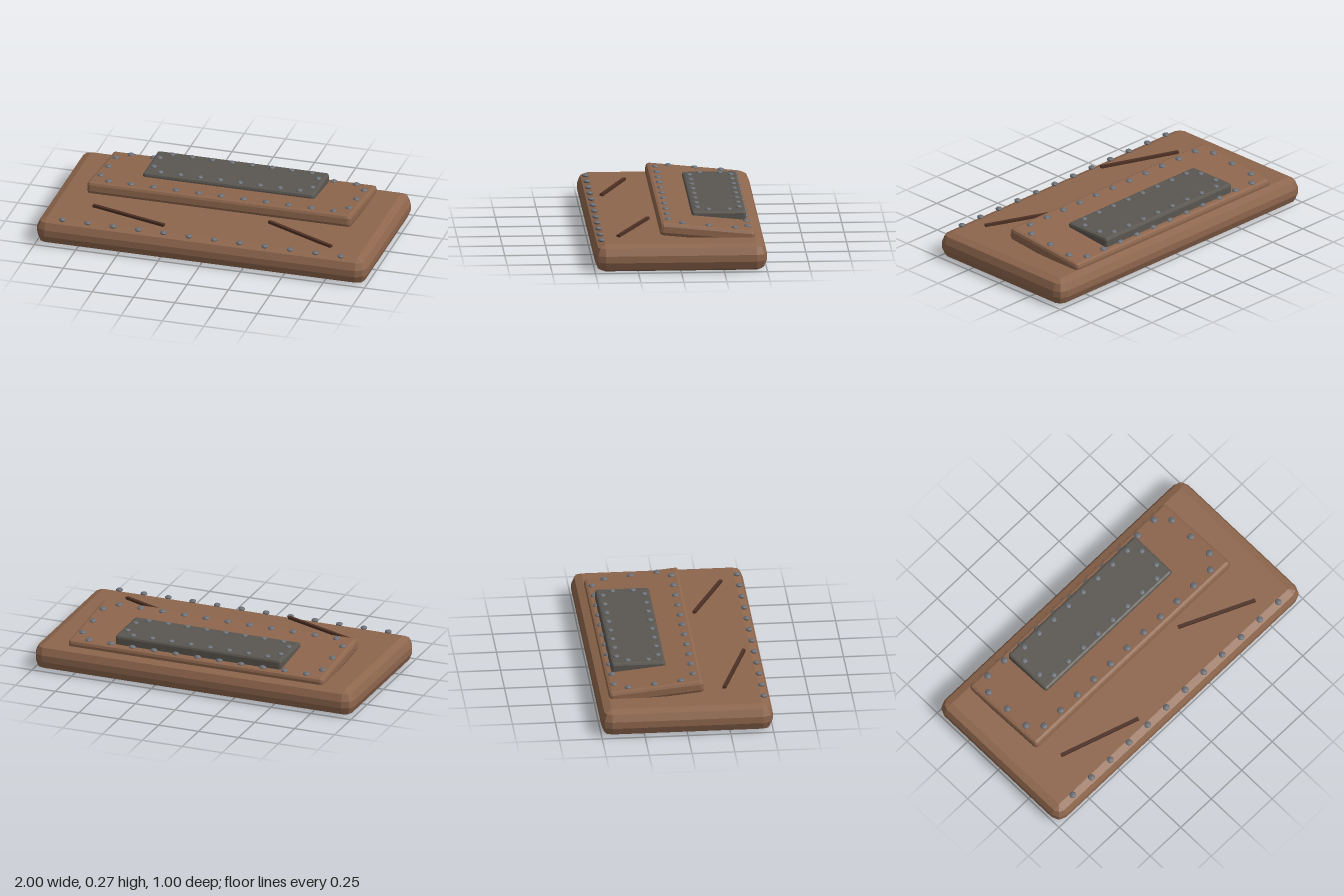
import * as THREE from 'three';
import { ConvexGeometry } from 'three/addons/geometries/ConvexGeometry.js';

// Box whose edges and corners are rounded with two flat facets per quarter turn
function roundedSlab(w, h, d, r) {
  const points = [];
  for (const sx of [-1, 1]) for (const sy of [-1, 1]) for (const sz of [-1, 1])
    for (let i = 0; i <= 2; i++) for (let j = 0; j <= (i === 2 ? 0 : 2); j++) {
      const lat = i * Math.PI / 4, lon = j * Math.PI / 4;
      points.push(new THREE.Vector3(
        sx * (w / 2 - r + r * Math.cos(lat) * Math.cos(lon)),
        sy * (h / 2 - r + r * Math.sin(lat)),
        sz * (d / 2 - r + r * Math.cos(lat) * Math.sin(lon))));
    }
  return new ConvexGeometry(points);
}

export function createModel() {
  const material = (name, color) => {
    const m = new THREE.MeshStandardMaterial({ color });
    m.name = name;
    return m;
  };
  const brown = material('brown', 0x8e664d);
  const grey = material('dark grey', 0x5a5650);
  const steel = material('rivet steel', 0x6a6e74);
  const dark = material('dark brown', 0x4d3025);

  const model = new THREE.Group();
  model.name = 'rivetedPlates';

  const add = (parent, name, geometry, mat, x, y, z) => {
    const mesh = new THREE.Mesh(geometry, mat);
    mesh.name = name;
    mesh.position.set(x, y, z);
    parent.add(mesh);
    return mesh;
  };

  const rivetGeometry = new THREE.SphereGeometry(1, 12, 8);
  const rivet = (parent, x, y, z, r) =>
    add(parent, 'rivet', rivetGeometry, steel, x, y, z).scale.set(r, r * 0.55, r);
  const rivetRow = (parent, count, halfWidth, y, z, r) => {
    for (let i = 0; i < count; i++)
      rivet(parent, halfWidth * (2 * i / (count - 1) - 1), y, z, r);
  };

  // Base slab with a row of rivets along the front
  add(model, 'baseSlab', roundedSlab(2, 0.16, 1, 0.06), brown, 0, 0.08, 0);
  rivetRow(model, 12, 0.843, 0.164, 0.457, 0.02);

  // Tilted middle plate, raised at the front, riveted on all four sides
  const middle = new THREE.Group();
  middle.name = 'middlePlate';
  middle.position.set(0, 0.186, -0.163);
  middle.rotation.x = -0.1;
  model.add(middle);
  add(middle, 'plate', roundedSlab(1.6, 0.075, 0.555, 0.02), brown, 0, 0, 0);
  for (const z of [-0.237, 0.227]) rivetRow(middle, 11, 0.682, 0.0385, z, 0.021);
  for (const x of [-0.752, 0.752])
    for (const z of [-0.16, -0.006, 0.148]) rivet(middle, x, 0.0385, z, 0.021);

  // Level grey plate on top
  const top = new THREE.Group();
  top.name = 'topPlate';
  top.position.set(0, 0.22, -0.244);
  model.add(top);
  add(top, 'plate', roundedSlab(1.04, 0.07, 0.315, 0.015), grey, 0, 0, 0);
  for (const z of [-0.121, 0.121]) rivetRow(top, 8, 0.422, 0.036, z, 0.018);
  for (const x of [-0.48, 0.48])
    for (const z of [-0.06, 0.06]) rivet(top, x, 0.036, z, 0.018);

  // Thin dark slats lying across the front of the base
  const slat = (name, a, b) => {
    const from = new THREE.Vector3(...a), to = new THREE.Vector3(...b);
    const mid = from.clone().add(to).multiplyScalar(0.5);
    const mesh = add(model, name, new THREE.BoxGeometry(0.02, 0.015, from.distanceTo(to)),
      dark, mid.x, mid.y, mid.z);
    mesh.lookAt(to);
  };
  slat('rightSlat', [-0.72, 0.169, 0.237], [-0.245, 0.183, 0.397]);
  slat('leftSlat', [0.32, 0.173, 0.158], [0.755, 0.166, 0.355]);

  return model;
}
